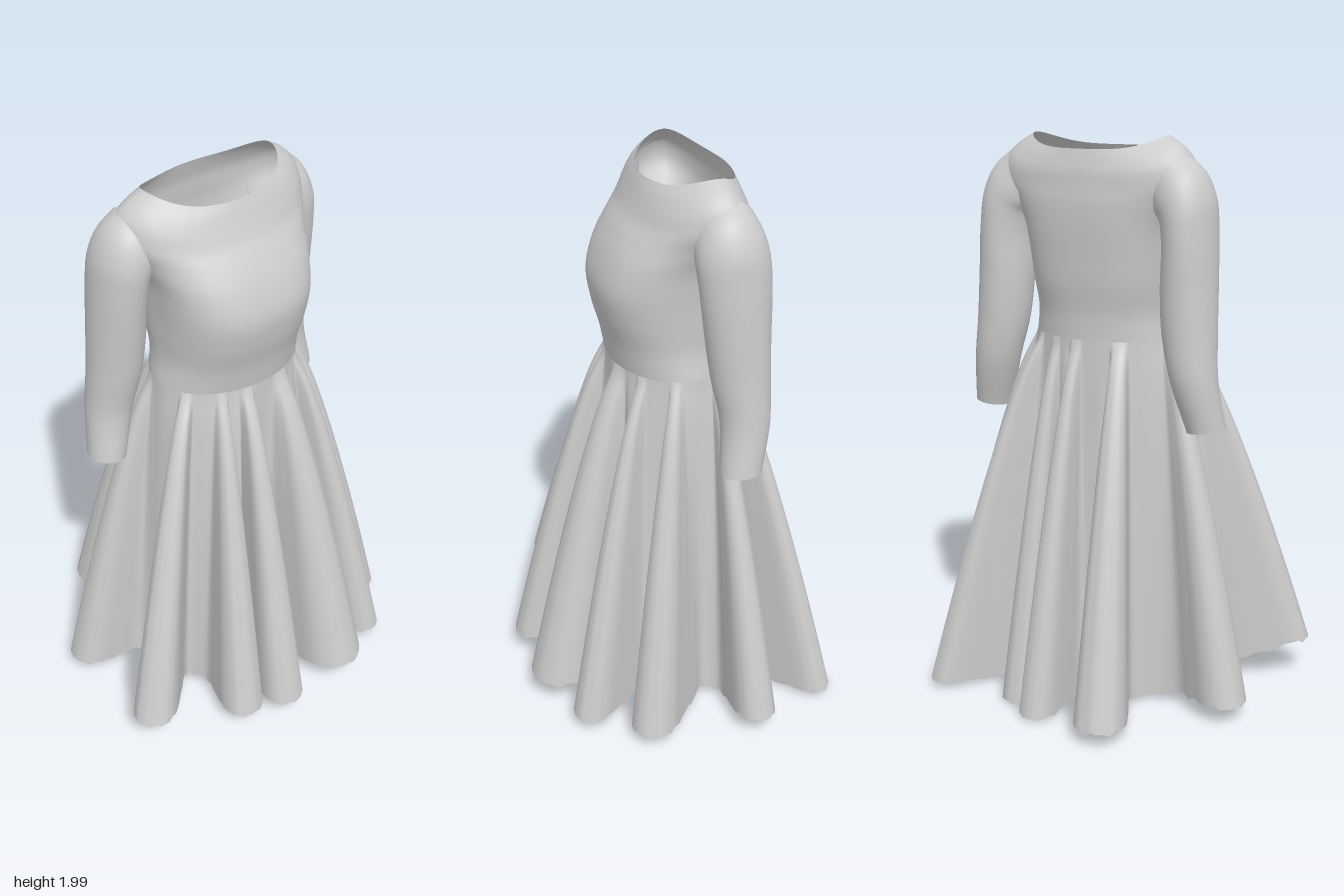
import * as THREE from 'three';

const { lerp, smoothstep } = THREE.MathUtils;
const fabric = new THREE.MeshStandardMaterial({ color: 0xcccccc, side: THREE.DoubleSide });
const SHIFT = 0.01; // the upper body sits slightly off centre

// Smooth surface wrapped in u (rings, increasing angle x -> z) and open in v.
function wrapSurface(name, nu, nv, pointAt, flip) {
  const pos = [], idx = [];
  for (let j = 0; j <= nv; j++)
    for (let i = 0; i < nu; i++) pos.push(...pointAt(i / nu, j / nv).toArray());
  for (let j = 0; j < nv; j++)
    for (let i = 0; i < nu; i++) {
      const a = j * nu + i, b = j * nu + (i + 1) % nu, c = a + nu, d = b + nu;
      if (flip) idx.push(a, b, c, b, d, c);
      else idx.push(a, c, b, b, c, d);
    }
  const g = new THREE.BufferGeometry();
  g.setAttribute('position', new THREE.Float32BufferAttribute(pos, 3));
  g.setIndex(idx);
  g.computeVertexNormals();
  const mesh = new THREE.Mesh(g, fabric);
  mesh.name = name;
  return mesh;
}

// Loft through a few rings; ringPoint(ring, angle) gives a point of one ring.
function loft(name, rings, ringPoint, nu, nv, flip) {
  const curves = new Map();
  return wrapSurface(name, nu, nv, (u, v) => {
    if (!curves.has(u))
      curves.set(u, new THREE.CatmullRomCurve3(rings.map(r => ringPoint(r, u * Math.PI * 2))));
    return curves.get(u).getPoint(v);
  }, flip);
}

const bend = (s, p) => Math.sign(s) * Math.abs(s) ** p;

// Bodice rings: y at side, front, back; half width, front z, back z, side z, roundness
const BODICE = [
  [1.31, 1.31, 1.31, 0.28, 0.22, -0.21, 0.005, 1],
  [1.40, 1.40, 1.40, 0.265, 0.235, -0.21, 0.01, 0.9],
  [1.50, 1.50, 1.50, 0.268, 0.26, -0.22, 0, 0.8],
  [1.60, 1.60, 1.60, 0.275, 0.27, -0.225, -0.01, 0.75],
  [1.70, 1.70, 1.70, 0.29, 0.24, -0.23, -0.03, 0.75],
  [1.78, 1.78, 1.78, 0.325, 0.195, -0.23, -0.07, 0.85],
  [1.86, 1.83, 1.83, 0.365, 0.16, -0.225, -0.09, 0.97],
  [1.92, 1.88, 1.88, 0.357, 0.135, -0.22, -0.09, 0.97],
  [1.965, 1.925, 1.92, 0.32, 0.115, -0.21, -0.08, 1],
  [2.0, 1.955, 1.955, 0.262, 0.10, -0.20, -0.07, 1.05],
];
function bodicePoint([ys, yf, yb, rx, zf, zb, zs, p], t) {
  const c = Math.cos(t), s = Math.sin(t);
  return new THREE.Vector3(SHIFT + rx * bend(c, p),
    lerp(ys, s > 0 ? yf : yb, 1 - c ** 4),
    zs + ((s > 0 ? zf : zb) - zs) * Math.abs(s) ** p);
}

// Sleeve rings: centre x, y, z; half width, half depth, tilt in degrees
const SLEEVE = [
  [0.285, 1.845, -0.09, 0.112, 0.10, 66],
  [0.32, 1.815, -0.09, 0.11, 0.115, 45],
  [0.35, 1.765, -0.093, 0.098, 0.122, 25],
  [0.364, 1.67, -0.10, 0.09, 0.12, 8],
  [0.368, 1.50, -0.11, 0.095, 0.11, 0],
  [0.377, 1.35, -0.12, 0.093, 0.10, 0],
  [0.40, 1.20, -0.13, 0.082, 0.085, 0],
  [0.438, 1.025, -0.105, 0.066, 0.072, 8],
];
function sleevePoint(side) {
  return ([x, y, z, a, rz, deg], t) => {
    const k = deg * Math.PI / 180, c = a * Math.cos(t);
    return new THREE.Vector3(
      SHIFT + side * (x + c * Math.cos(k)), y + c * Math.sin(k), z + rz * Math.sin(t));
  };
}

// Skirt folds, going round: root x, z; bulb centre x, z; bulb radius; hem height;
// root width against bulb; x, z of the valley before the next fold
const FOLDS = [
  [-0.17, -0.22, -0.24, -0.50, 0.09, 0.06, 0.35, -0.08, -0.24],
  [0.02, -0.25, 0.04, -0.465, 0.062, 0.015, 0.6, 0.08, -0.28],
  [0.14, -0.25, 0.16, -0.39, 0.065, 0.015, 0.7, 0.21, -0.22],
  [0.28, -0.22, 0.465, -0.42, 0.06, 0.03, 0.4, 0.35, -0.19],
  [0.39, -0.12, 0.58, -0.14, 0.07, 0.08, 0.8, 0.37, -0.01],
  [0.385, 0.09, 0.52, 0.23, 0.08, 0.07, 0.8, 0.31, 0.19],
  [0.28, 0.23, 0.38, 0.42, 0.067, 0.07, 0.55, 0.21, 0.26],
  [0.10, 0.25, 0.16, 0.475, 0.112, 0.11, 0.6, 0.01, 0.235],
  [-0.09, 0.28, -0.12, 0.51, 0.074, 0.10, 0.5, -0.16, 0.33],
  [-0.23, 0.27, -0.26, 0.44, 0.076, 0.08, 0.7, -0.295, 0.22],
  [-0.35, 0.15, -0.575, 0.315, 0.077, 0.15, 0.6, -0.36, 0.03],
  [-0.36, -0.09, -0.53, -0.145, 0.082, 0.07, 0.6, -0.25, -0.165],
];
// Outline of one fold: sideways, how far from root to centre, beyond centre in radii
const OUTLINE = [
  [-1, 0, 0], [-1, 0.5, 0], [-1, 1, 0], [-0.72, 1, 0.7], [0, 1, 1],
  [0.72, 1, 0.7], [1, 1, 0], [1, 0.5, 0], [1, 0, 0],
];

function buildSkirt() {
  const hem = [], waist = [];
  const toWaist = (x, z) => {
    const t = Math.atan2((z - 0.005) / 0.215, x / 0.28);
    waist.push(bodicePoint(BODICE[0], t));
  };
  // the hem hangs lower at the back
  const baseY = z => 0.018 + 0.037 * smoothstep(z, -0.2, -0.05);
  for (const [rx, rz, cx, cz, r, y, neck, vx, vz] of FOLDS) {
    const len = Math.hypot(cx - rx, cz - rz), dx = (cx - rx) / len, dz = (cz - rz) / len;
    OUTLINE.forEach(([side, along, beyond], k) => {
      const f = along * len + beyond * r, w = side * r * lerp(neck, 1, along);
      hem.push(new THREE.Vector3(rx + dx * f - dz * w, lerp(baseY(rz), y, along), rz + dz * f + dx * w));
      const spread = (k - 4) / 4 * 0.5 * r;
      toWaist(rx - dz * spread, rz + dx * spread);
    });
    hem.push(new THREE.Vector3(vx, baseY(vz), vz));
    toWaist(vx, vz);
  }
  const hemCurve = new THREE.CatmullRomCurve3(hem, true);
  const waistCurve = new THREE.CatmullRomCurve3(waist, true);
  return wrapSurface('skirt', 600, 48, (u, v) => {
    const top = waistCurve.getPoint(u), low = hemCurve.getPoint(u);
    // slightly frayed hem
    low.y += 0.004 * Math.sin(u * 200 * Math.PI) + 0.004 * Math.sin(u * 362 * Math.PI);
    // folds swell softly out of the waist, then fall in a gentle curve
    const g = v ** 0.78 * (1 - Math.exp(-v / 0.03));
    return new THREE.Vector3(lerp(top.x, low.x, g), lerp(top.y, low.y, v), lerp(top.z, low.z, g));
  }, true);
}

export function createModel() {
  const dress = new THREE.Group();
  dress.name = 'dress';
  dress.add(loft('bodice', BODICE, bodicePoint, 96, 54, false));
  dress.add(loft('leftSleeve', SLEEVE, sleevePoint(1), 40, 48, true));
  dress.add(loft('rightSleeve', SLEEVE, sleevePoint(-1), 40, 48, false));
  dress.add(buildSkirt());
  return dress;
}
